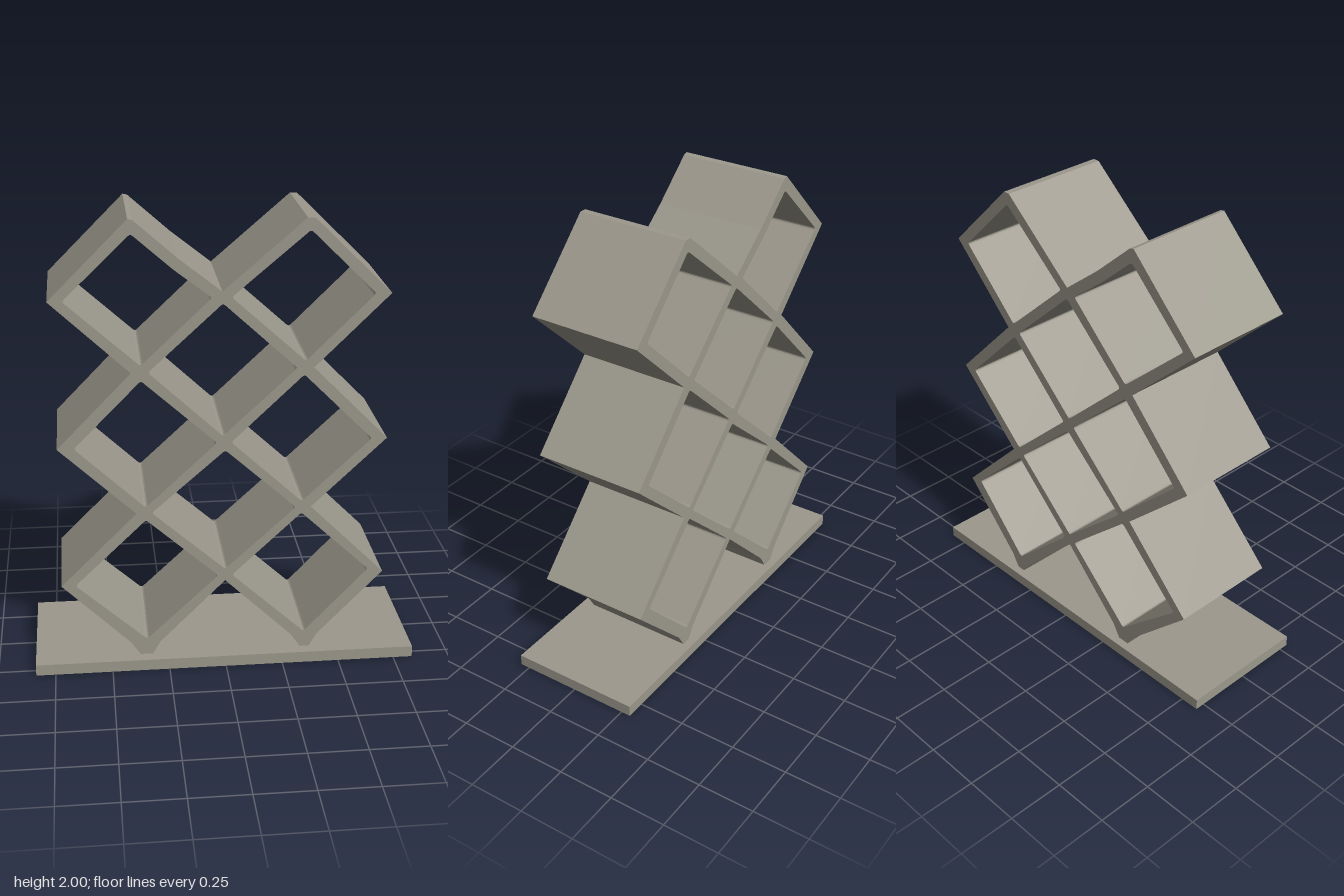
import * as THREE from 'three';

// Outer zigzag outline of the lattice, counter-clockwise from the left foot
const OUTLINE = [
  [-0.375, 0.05], [-0.32, 0.05], [-0.285, 0.11], [0, 0.395], [0.295, 0.11], [0.335, 0.05],
  [0.375, 0.05], [0.41, 0.11], [0.695, 0.405], [0.37, 0.73], [0.69, 1.035], [0.37, 1.36],
  [0.685, 1.67], [0.36, 1.99], [0.33, 1.99], [-0.013, 1.695], [-0.19, 1.835], [-0.37, 1.995], [-0.39, 2.0],
  [-0.72, 1.67], [-0.39, 1.36], [-0.705, 1.035], [-0.38, 0.73], [-0.71, 0.4], [-0.415, 0.11],
];

// Diamond openings: top, left, bottom, right
const CELLS = [
  [[-0.38, 1.94], [-0.66, 1.67], [-0.35, 1.39], [-0.055, 1.67], [-0.21, 1.79]],
  [[0.345, 1.94], [0.025, 1.67], [0.335, 1.39], [0.62, 1.67]],
  [[-0.01, 1.645], [-0.32, 1.36], [-0.01, 1.07], [0.3, 1.36]],
  [[-0.35, 1.325], [-0.635, 1.035], [-0.34, 0.757], [-0.035, 1.04]],
  [[0.33, 1.33], [0.025, 1.04], [0.33, 0.757], [0.625, 1.035]],
  [[0, 1.005], [-0.315, 0.73], [0, 0.45], [0.305, 0.73]],
  [[-0.34, 0.698], [-0.65, 0.4], [-0.345, 0.125], [-0.03, 0.42]],
  [[0.33, 0.703], [0.03, 0.42], [0.35, 0.125], [0.63, 0.42]],
];

const toPoints = (list) => list.map(([x, y]) => new THREE.Vector2(x, y));

// Closed loop with every corner slightly softened
function roundedPath(list, cut) {
  const pts = toPoints(list);
  const path = new THREE.Path();
  pts.forEach((p, i) => {
    const before = pts[(i + pts.length - 1) % pts.length];
    const after = pts[(i + 1) % pts.length];
    const a = p.clone().add(before.clone().sub(p).setLength(cut));
    const b = p.clone().add(after.clone().sub(p).setLength(cut));
    if (i === 0) path.moveTo(a.x, a.y);
    else path.lineTo(a.x, a.y);
    path.quadraticCurveTo(p.x, p.y, b.x, b.y);
  });
  path.closePath();
  return path;
}

export function createModel() {
  const model = new THREE.Group();
  model.name = 'latticeRack';
  const stone = new THREE.MeshStandardMaterial({ color: 0x9c988c });
  stone.name = 'warm grey';

  // Diamond lattice, open from front to back
  const shape = new THREE.Shape(toPoints(OUTLINE));
  shape.holes = CELLS.map((cell) => roundedPath(cell, 0.012));
  const back = -0.257, front = 0.238;
  const geometry = new THREE.ExtrudeGeometry(shape, {
    depth: front - back, bevelEnabled: false, curveSegments: 3,
  });
  geometry.translate(0, 0, back);
  const lattice = new THREE.Mesh(geometry, stone);
  lattice.name = 'lattice';

  // Flat base plate
  const base = new THREE.Mesh(new THREE.BoxGeometry(1.67, 0.05, 0.586), stone);
  base.position.y = 0.025;
  base.name = 'base';

  model.add(lattice, base);
  return model;
}
